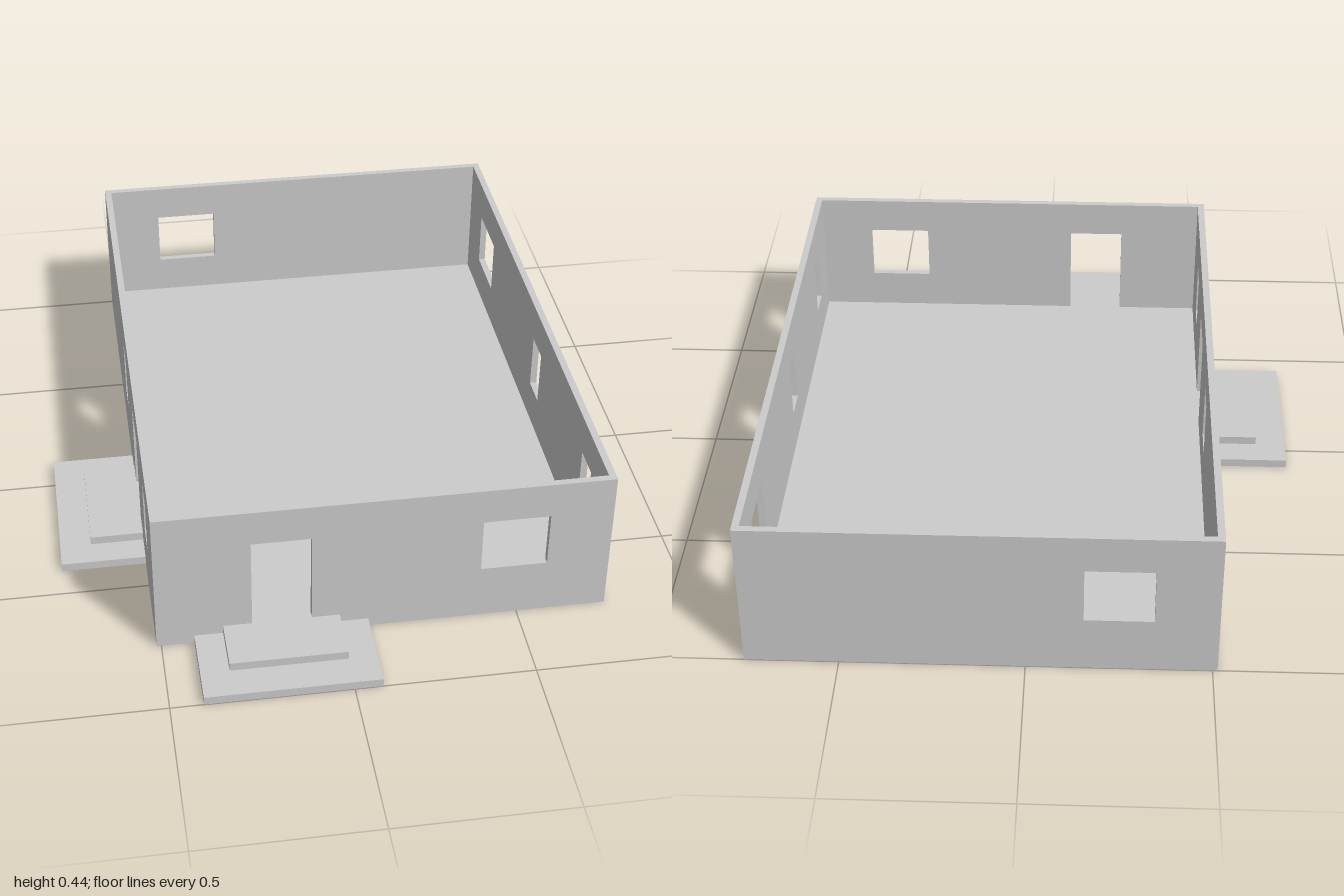
import * as THREE from 'three';

const X0 = -0.513, X1 = 0.755, Z0 = -1, Z1 = 0.755;
const H = 0.44, T = 0.02, STEP = 0.025, FLOOR = 0.05;
const SILL = 0.166, HEAD = 0.332;

const material = new THREE.MeshStandardMaterial({ color: 0xcccccc, flatShading: true });

const rectangle = (path, a0, a1, y0, y1) =>
  path.moveTo(a0, y0).lineTo(a1, y0).lineTo(a1, y1).lineTo(a0, y1).closePath();

// Upright panel from a0 to a1 with rectangular openings [start, end, bottom]
function wall(name, a0, a1, openings) {
  const shape = rectangle(new THREE.Shape(), a0, a1, 0, H);
  for (const [s, e, bottom] of openings) {
    shape.holes.push(rectangle(new THREE.Path(), s, e, bottom, HEAD));
  }
  const geometry = new THREE.ExtrudeGeometry(shape, { depth: T, bevelEnabled: false });
  const mesh = new THREE.Mesh(geometry, material);
  mesh.name = name;
  return mesh;
}

// Box given by its limits
function slab(name, x0, x1, y0, y1, z0, z1) {
  const mesh = new THREE.Mesh(new THREE.BoxGeometry(x1 - x0, y1 - y0, z1 - z0), material);
  mesh.position.set((x0 + x1) / 2, (y0 + y1) / 2, (z0 + z1) / 2);
  mesh.name = name;
  return mesh;
}

export function createModel() {
  const house = new THREE.Group();
  house.name = 'house';

  // Front wall: door and wide window
  const front = wall('frontWall', X0, X1, [[-0.247, -0.081, FLOOR], [0.391, 0.578, SILL]]);
  front.position.z = Z1 - T;

  // Back wall: wide window
  const back = wall('backWall', X0, X1, [[-0.341, -0.154, SILL]]);
  back.position.z = Z0;

  // Side walls fit between front and back; their shape runs along z
  const left = wall('leftWall', Z0 + T, Z1 - T,
    [[-0.825, -0.638, SILL], [-0.09, 0.005, SILL], [0.489, 0.584, SILL]]);
  left.position.x = X1;
  const right = wall('rightWall', Z0 + T, Z1 - T,
    [[-0.247, -0.152, SILL], [0.078, 0.244, FLOOR], [0.446, 0.541, SILL]]);
  right.position.x = X0 + T;
  for (const side of [left, right]) side.rotation.y = -Math.PI / 2;

  house.add(front, back, left, right);

  // Floor slab inside the walls
  house.add(slab('floor', X0 + T, X1 - T, 0, FLOOR, Z0 + T, Z1 - T));

  // Two steps at each door
  house.add(
    slab('frontLowerStep', -0.408, 0.078, 0, STEP, Z1, 1),
    slab('frontUpperStep', -0.328, -0.002, STEP, FLOOR, Z1, 0.907),
    slab('sideLowerStep', -0.755, X0, 0, STEP, -0.084, 0.402),
    slab('sideUpperStep', -0.666, X0, STEP, FLOOR, -0.002, 0.323)
  );
  return house;
}
